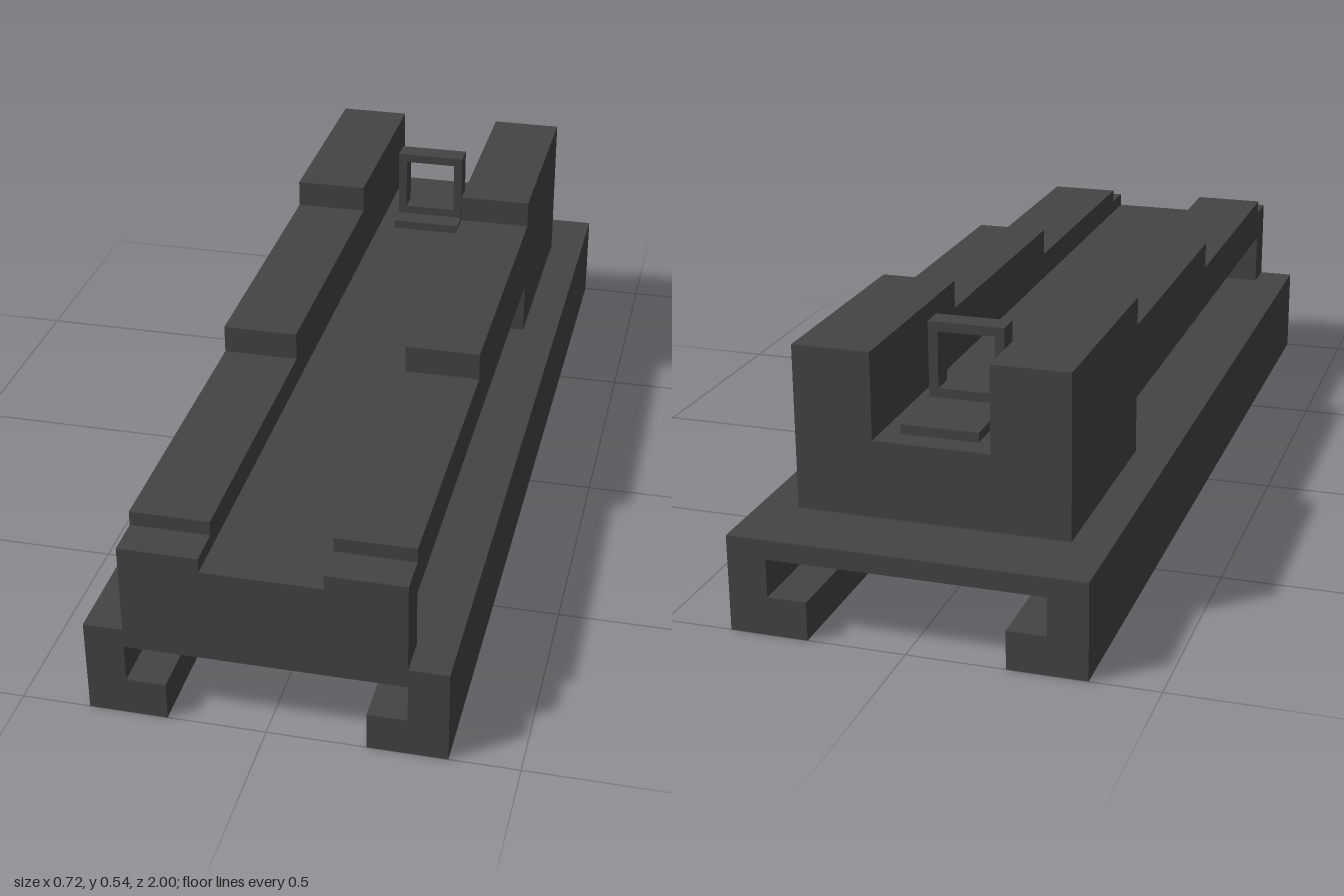
import * as THREE from 'three';

const material = new THREE.MeshStandardMaterial({ color: 0x444444, flatShading: true });

const shapeOf = (points) => new THREE.Shape(points.map(([a, b]) => new THREE.Vector2(a, b)));

function addMesh(parent, name, geometry) {
  const mesh = new THREE.Mesh(geometry, material);
  mesh.name = name;
  parent.add(mesh);
  return mesh;
}

// Extrude a front (x, y) outline from z0 to z1
function alongZ(shape, z0, z1) {
  return new THREE.ExtrudeGeometry(shape, { depth: z1 - z0, bevelEnabled: false }).translate(0, 0, z0);
}

// Extrude a side (z, y) outline from x0 to x1
function alongX(shape, x0, x1) {
  return new THREE.ExtrudeGeometry(shape, { depth: x1 - x0, bevelEnabled: false })
    .rotateY(-Math.PI / 2)
    .translate(x1, 0, 0);
}

export function createModel() {
  const model = new THREE.Group();
  model.name = 'slidingRailWithSight';

  // Base: a C-shaped channel with inward lips
  const half = [[0.2, 0], [0.36, 0], [0.36, 0.2]];
  const inner = [[0.28, 0.16], [0.28, 0.08], [0.2, 0.08]];
  const mirror = (pts) => pts.map(([x, y]) => [-x, y]).reverse();
  addMesh(model, 'channelRail', alongZ(shapeOf([...half, ...mirror(half), ...mirror(inner), ...inner]), -1, 1));

  // Bridge profile: rear block, thin deck and front post over an open gap
  const underside = [[-0.84, 0.2], [-0.36, 0.2], [-0.36, 0.32], [0.92, 0.32], [0.92, 0.2], [1, 0.2]];
  const floor = shapeOf([...underside, [1, 0.36], [-0.84, 0.36]]);
  addMesh(model, 'bridgeFloor', alongX(floor, -0.12, 0.12));

  // Stepped side walls, rising toward the back
  const wall = shapeOf([
    ...underside,
    [1, 0.39], [0.92, 0.39], [0.92, 0.42], [0.28, 0.42],
    [0.28, 0.48], [-0.36, 0.48], [-0.36, 0.54], [-0.84, 0.54],
  ]);
  addMesh(model, 'leftSteppedWall', alongX(wall, 0.12, 0.28));
  addMesh(model, 'rightSteppedWall', alongX(wall, -0.28, -0.12));

  // Rear sight: foot plate and square window frame
  const sight = new THREE.Group();
  sight.name = 'rearSight';
  model.add(sight);
  addMesh(sight, 'sightPlate', new THREE.BoxGeometry(0.16, 0.02, 0.26).translate(0, 0.37, -0.66));
  const frame = shapeOf([[-0.08, 0.36], [0.08, 0.36], [0.08, 0.54], [-0.08, 0.54]]);
  frame.holes.push(shapeOf([[-0.06, 0.4], [-0.06, 0.52], [0.06, 0.52], [0.06, 0.4]]));
  addMesh(sight, 'sightFrame', alongZ(frame, -0.63, -0.58));

  return model;
}
